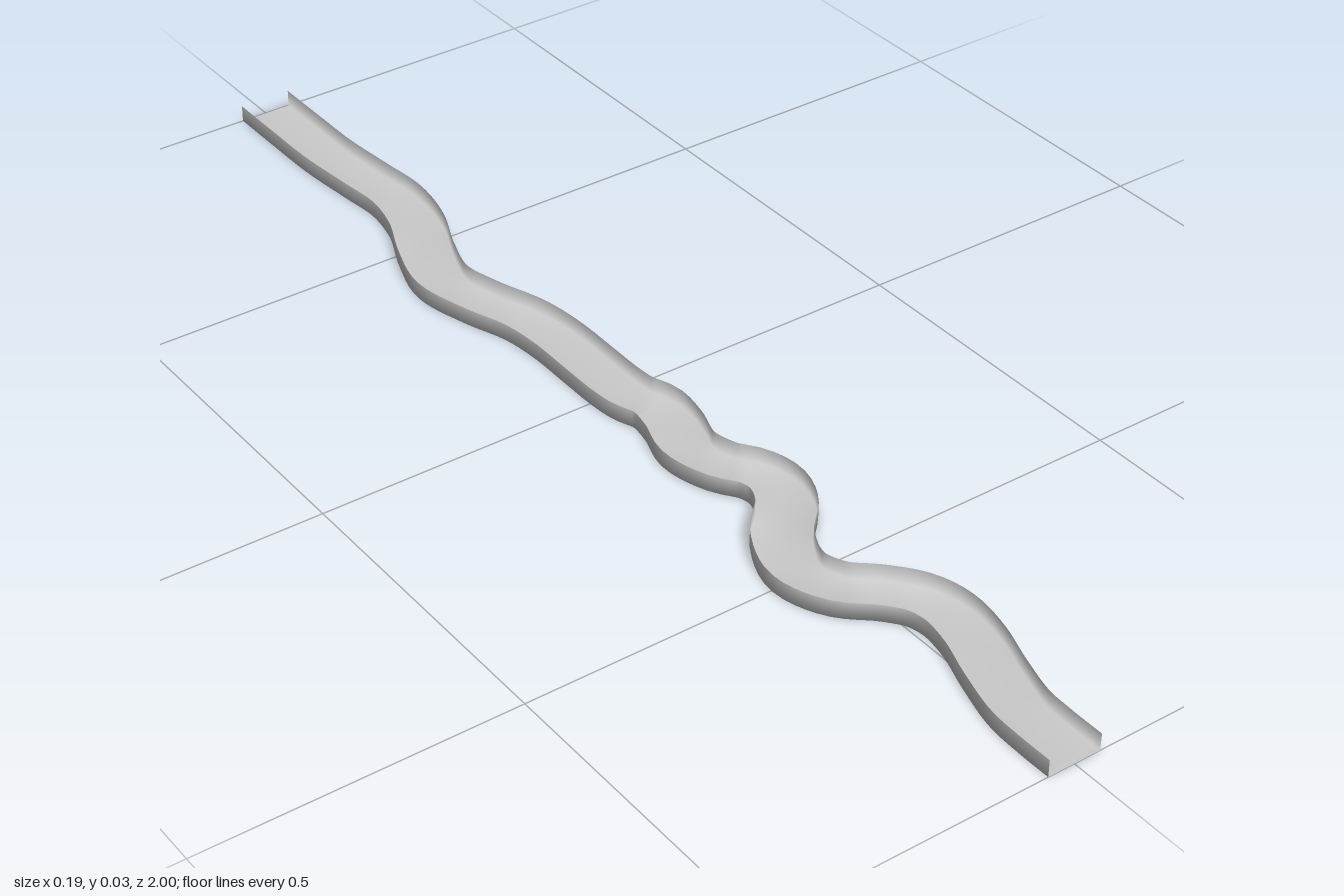
import * as THREE from 'three';

const HALF_WIDTH = 0.044;
const HEIGHT = 0.028;
const SEGMENTS = 160;

// centre line of the winding channel as [x, z], back to front
const PATH = [
  [0, -1], [0, -0.9], [0.001, -0.8], [0.01, -0.7], [0.017, -0.62], [0.003, -0.54],
  [-0.03, -0.46], [-0.052, -0.38], [-0.036, -0.3], [-0.009, -0.22], [0, -0.15],
  [0, -0.06], [0, 0], [0.004, 0.04], [0.017, 0.08], [0.011, 0.13], [-0.006, 0.19],
  [0.008, 0.25], [0.034, 0.29], [0.042, 0.33], [0.026, 0.375], [-0.025, 0.43],
  [-0.053, 0.5], [-0.034, 0.56], [0.012, 0.605], [0.042, 0.645], [0.053, 0.69],
  [0.045, 0.75], [0.022, 0.82], [0.003, 0.89], [0, 0.94], [0, 1],
];

// cross-section: left wall top, floor corners, right wall top as [sideways, y]
const PROFILE = [
  [-HALF_WIDTH, HEIGHT], [-HALF_WIDTH, 0], [HALF_WIDTH, 0], [HALF_WIDTH, HEIGHT],
];

// sweeps the open profile along the path, keeping it upright
function sweepChannel(curve) {
  const positions = [];
  const indices = [];
  const n = PROFILE.length;
  for (let i = 0; i <= SEGMENTS; i++) {
    const p = curve.getPointAt(i / SEGMENTS);
    const t = curve.getTangentAt(i / SEGMENTS);
    if (i === 0 || i === SEGMENTS) t.set(0, 0, 1); // square ends
    for (const [s, y] of PROFILE) positions.push(p.x + t.z * s, y, p.z - t.x * s);
    if (i === SEGMENTS) break;
    for (let j = 0; j < n - 1; j++) {
      const a = i * n + j;
      const b = a + n;
      indices.push(a, b, a + 1, b, b + 1, a + 1);
    }
  }
  const geometry = new THREE.BufferGeometry();
  geometry.setAttribute('position', new THREE.Float32BufferAttribute(positions, 3));
  geometry.setIndex(indices);
  geometry.computeVertexNormals();
  return geometry;
}

export function createModel() {
  const group = new THREE.Group();
  group.name = 'windingChannel';
  const curve = new THREE.CatmullRomCurve3(PATH.map(([x, z]) => new THREE.Vector3(x, 0, z)));
  const material = new THREE.MeshStandardMaterial({ color: 0xcccccc, side: THREE.DoubleSide });

  // floor and both side walls in one thin sheet
  const channel = new THREE.Mesh(sweepChannel(curve), material);
  channel.name = 'channel';
  group.add(channel);
  return group;
}
